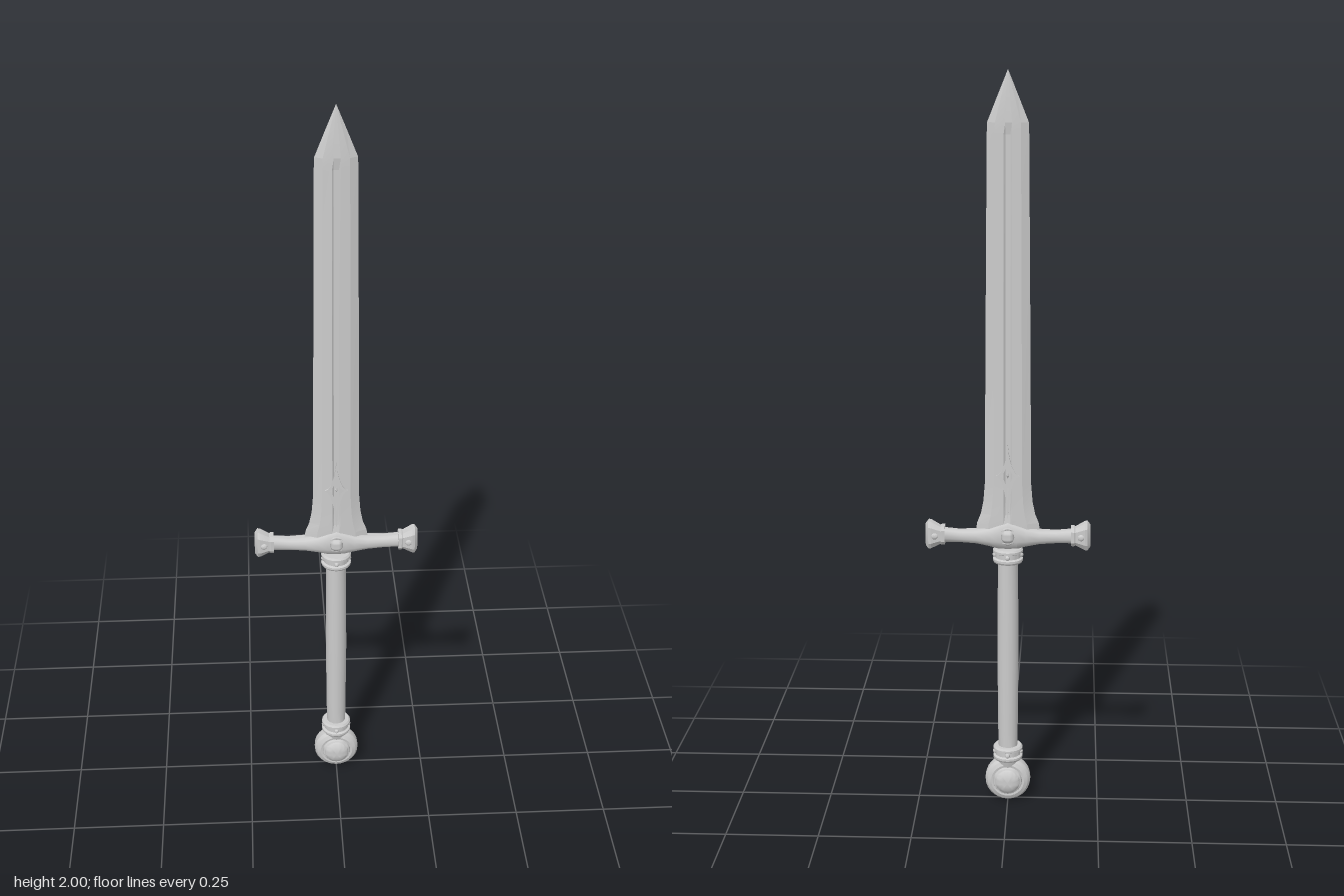
import * as THREE from 'three';
import { mergeVertices, toCreasedNormals } from 'three/addons/utils/BufferGeometryUtils.js';

const grey = new THREE.MeshStandardMaterial({ color: 0xcccccc });

function add(parent, name, geometry, crease = 0.6) {
  const mesh = new THREE.Mesh(toCreasedNormals(geometry, crease), grey);
  mesh.name = name;
  parent.add(mesh);
  return mesh;
}

// Skin a list of closed rings (arrays of [x, y, z]) and close both ends
function loft(rings) {
  const n = rings[0].length, pos = rings.flat(2), idx = [];
  for (let i = 0; i < rings.length - 1; i++)
    for (let j = 0; j < n; j++) {
      const a = i * n + j, c = i * n + (j + 1) % n;
      idx.push(a, a + n, c, a + n, c + n, c);
    }
  [[0, false], [rings.length - 1, true]].forEach(([r, flip]) => {
    const centre = pos.length / 3;
    for (let k = 0; k < 3; k++) pos.push(rings[r].reduce((s, p) => s + p[k], 0) / n);
    for (let j = 0; j < n; j++) {
      const a = r * n + j, b = r * n + (j + 1) % n;
      idx.push(centre, flip ? b : a, flip ? a : b);
    }
  });
  const g = new THREE.BufferGeometry();
  g.setAttribute('position', new THREE.Float32BufferAttribute(pos, 3));
  g.setIndex(idx);
  g.computeVertexNormals();
  return g;
}

const lathe = (points, seg) =>
  mergeVertices(new THREE.LatheGeometry(points.map(p => new THREE.Vector2(...p)), seg));

// Blade ring: sharp edges, flat bevels and a shallow central fuller
function bladeRing([y, w, t, depth]) {
  const f = Math.min(0.011, w * 0.2), b = w * 0.62;
  const half = [[w, 0], [b, t * 0.8], [f, t], [f * 0.6, t - depth], [-f * 0.6, t - depth], [-f, t], [-b, t * 0.8]];
  const other = half.map(([x, z]) => [-x, -z]);
  return [...half, ...other].map(([x, z]) => [x, y, z]);
}

// Elliptical or boxy ring across the x axis
function crossRing(x, y0, y1, hz, sides, power = 1) {
  const ring = [];
  for (let j = 0; j < sides; j++) {
    const a = ((j + 0.5) / sides) * Math.PI * 2;
    const s = Math.sin(a), c = Math.cos(a);
    ring.push([x, (y0 + y1) / 2 + (y1 - y0) / 2 * Math.sign(s) * Math.abs(s) ** power,
      hz * Math.sign(c) * Math.abs(c) ** power]);
  }
  return ring;
}

// Four-pointed star outline with curved sides
function starPath(path, w, top, bottom, pinch) {
  path.moveTo(0, top);
  path.quadraticCurveTo(pinch, pinch, w, 0);
  path.quadraticCurveTo(pinch, -pinch, 0, bottom);
  path.quadraticCurveTo(-pinch, -pinch, -w, 0);
  path.quadraticCurveTo(-pinch, pinch, 0, top);
  return path;
}

export function createModel() {
  const sword = new THREE.Group();
  sword.name = 'sword';

  // Blade with flared base and pointed tip
  add(sword, 'blade', loft([
    [0.775, 0.088, 0.018, 0], [0.81, 0.083, 0.018, 0], [0.835, 0.073, 0.018, 0.004],
    [0.87, 0.066, 0.017, 0.005], [0.92, 0.062, 0.017, 0.005], [1.4, 0.058, 0.015, 0.005],
    [1.84, 0.054, 0.013, 0.004], [1.87, 0.053, 0.013, 0], [1.94, 0.025, 0.008, 0], [2, 0.0005, 0.0005, 0]
  ].map(bladeRing)), 0.1);

  // Star ornament on both faces
  const frame = starPath(new THREE.Shape(), 0.031, 0.085, -0.12, 0.007);
  frame.holes.push(starPath(new THREE.Path(), 0.02, 0.058, -0.07, 0.004));
  const starGeo = new THREE.ExtrudeGeometry(frame, { depth: 0.04, bevelEnabled: false, curveSegments: 6 });
  starGeo.translate(0, 0.945, -0.02);
  add(sword, 'bladeStar', starGeo);
  const core = new THREE.OctahedronGeometry(1);
  core.scale(0.009, 0.02, 0.021);
  add(sword, 'bladeStarCore', core, 0.1).position.y = 0.945;

  // Crossguard: peaked centre, slim curved arms
  const guard = new THREE.Group();
  guard.name = 'crossguard';
  sword.add(guard);
  const arm = [[0, 0.735, 0.822, 0.027], [0.025, 0.738, 0.812, 0.027], [0.05, 0.745, 0.8, 0.025],
    [0.085, 0.752, 0.792, 0.022], [0.13, 0.755, 0.79, 0.019], [0.18, 0.755, 0.795, 0.018]];
  const profile = [...arm.slice(1).reverse().map(([x, ...r]) => [-x, ...r]), ...arm];
  add(guard, 'guardArms', loft(profile.map(([x, a, b, z]) => crossRing(x, a, b, z, 12, 0.8))), 0.7);

  // Flared end caps with studs
  for (const side of [1, -1]) {
    const end = new THREE.Group();
    end.name = side > 0 ? 'leftGuardEnd' : 'rightGuardEnd';
    end.rotation.y = side > 0 ? 0 : Math.PI;
    guard.add(end);
    add(end, 'endCap', loft([
      crossRing(0.17, 0.748, 0.802, 0.022, 8, 0.6), crossRing(0.178, 0.748, 0.802, 0.023, 8, 0.6),
      crossRing(0.182, 0.75, 0.8, 0.02, 8, 0.6), crossRing(0.207, 0.737, 0.815, 0.023, 8, 0.6),
      crossRing(0.214, 0.735, 0.817, 0.021, 8, 0.6), crossRing(0.222, 0.745, 0.807, 0.01, 8, 0.6)
    ]), 0.3);
    for (const z of [0.02, -0.02]) {
      const stud = new THREE.SphereGeometry(0.009, 12, 8);
      stud.scale(1, 1, 0.7);
      add(end, 'endStud', stud, 1).position.set(0.197, 0.775, z);
    }
  }

  // Round bosses at the middle of the guard
  for (const z of [1, -1]) {
    const boss = new THREE.Group();
    boss.name = z > 0 ? 'frontBoss' : 'backBoss';
    boss.position.set(0, 0.777, z * 0.022);
    guard.add(boss);
    const gem = new THREE.SphereGeometry(0.019, 16, 10);
    gem.scale(1, 1, 0.85);
    add(boss, 'bossGem', gem, 1);
    add(boss, 'bossRim', new THREE.TorusGeometry(0.021, 0.004, 6, 20), 1.2);
  }

  // Grip with a slight swell
  add(sword, 'grip', lathe([[0.026, 0.14], [0.027, 0.2], [0.029, 0.42], [0.028, 0.6], [0.027, 0.72]], 16));

  // Banded collars at both ends of the grip
  const collar = [[0, -0.02], [0.038, -0.02], [0.041, -0.015], [0.041, -0.009], [0.035, -0.006],
    [0.035, 0.006], [0.041, 0.009], [0.041, 0.015], [0.037, 0.02], [0, 0.02]];
  for (const [name, y, s] of [['upperCollar', 0.72, 1], ['lowerCollar', 0.143, 1]]) {
    const group = new THREE.Group();
    group.name = name;
    group.position.y = y;
    sword.add(group);
    add(group, 'collarBand', lathe(collar, 20), 0.5);
    for (let i = 0; i < 4; i++) {
      const a = i * Math.PI / 2;
      const stud = new THREE.SphereGeometry(0.007, 8, 6);
      add(group, 'collarStud', stud, 1).position.set(0.035 * Math.sin(a), 0, 0.035 * Math.cos(a));
    }
  }
  add(sword, 'pommelNeck', new THREE.CylinderGeometry(0.034, 0.026, 0.03, 16)).position.y = 0.115;

  // Pommel: rounded wheel with a domed boss on each face
  const half = [[0.063, 0], [0.062, 0.012], [0.056, 0.021], [0.046, 0.026], [0.04, 0.025], [0.038, 0.031],
    [0.034, 0.033], [0.032, 0.037], [0.024, 0.043], [0.012, 0.046], [0, 0.047]];
  const wheel = [...half.slice(1).reverse().map(([r, h]) => [r, -h]), ...half];
  const pommel = lathe(wheel, 28);
  pommel.rotateX(Math.PI / 2);
  add(sword, 'pommel', pommel, 0.5).position.y = 0.064;

  return sword;
}
